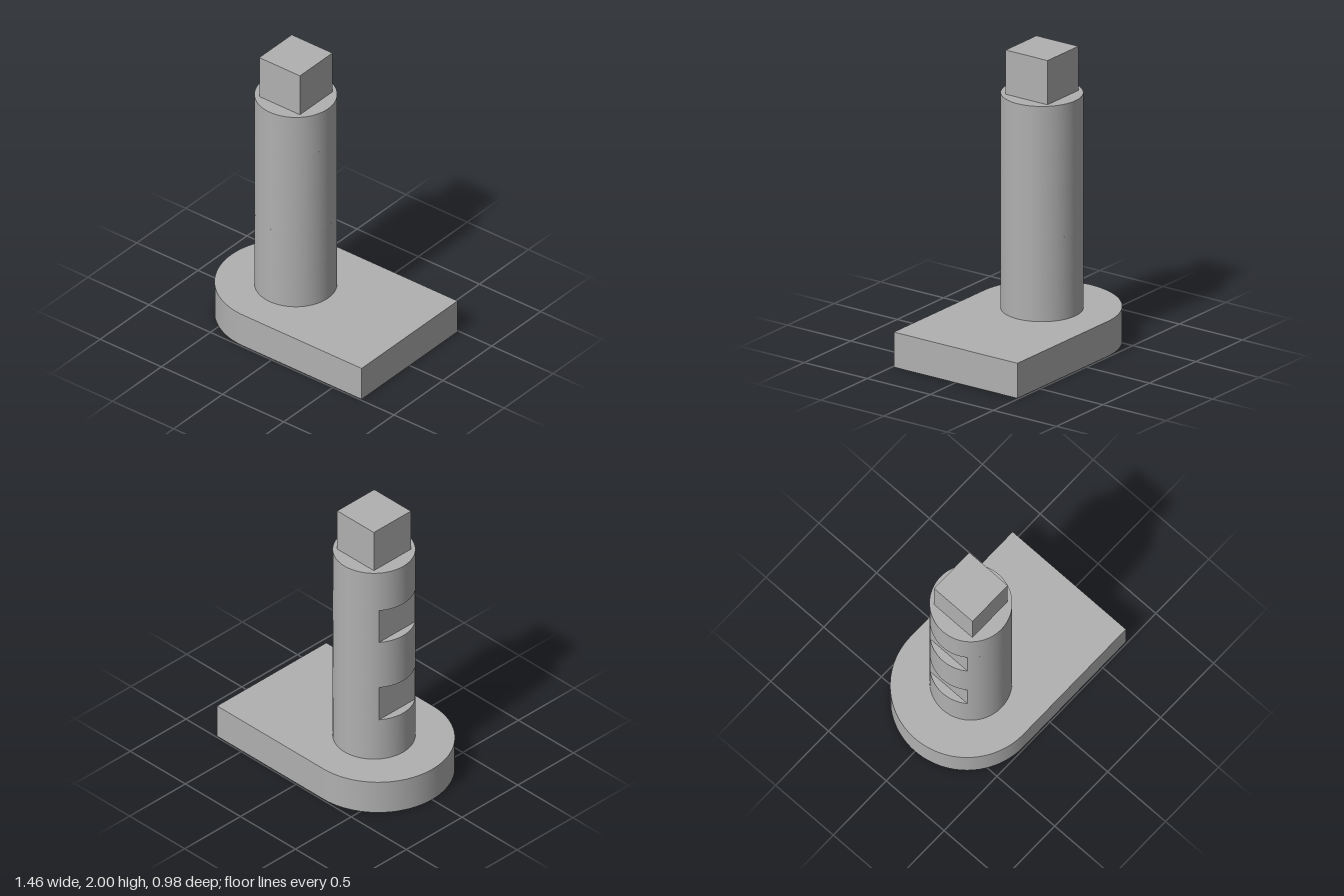
import * as THREE from 'three';
import { toCreasedNormals } from 'three/addons/utils/BufferGeometryUtils.js';

const AXIS_X = -0.201;   // column axis
const RADIUS = 0.264;
const FLAT = 0.209;      // distance from the axis to the notch floor
const BASE_TOP = 0.238;
const COLUMN_TOP = 1.7;

export function createModel() {
  const grey = new THREE.MeshStandardMaterial({ color: 0xb0b0b0 });
  grey.name = 'plain grey';
  const model = new THREE.Group();
  model.name = 'notchedPost';

  const add = (name, geometry, parent = model) => {
    const mesh = new THREE.Mesh(geometry, grey);
    mesh.name = name;
    parent.add(mesh);
    return mesh;
  };

  // Upright prism of a plan shape between two heights
  const prism = (shape, y0, y1) => {
    const g = new THREE.ExtrudeGeometry(shape, { depth: y1 - y0, bevelEnabled: false, curveSegments: 64 });
    g.rotateX(-Math.PI / 2).translate(0, y0, 0);
    return toCreasedNormals(g, 0.5);
  };

  // Base plate: square at one end, rounded at the other
  const plan = new THREE.Shape();
  plan.moveTo(0.728, -0.49);
  plan.lineTo(0.728, 0.49);
  plan.lineTo(-0.238, 0.49);
  plan.absarc(-0.238, 0, 0.49, Math.PI / 2, Math.PI * 1.5, false);
  plan.closePath();
  add('basePlate', prism(plan, 0, BASE_TOP));

  // Column: full round sections alternating with flat-cut notch sections
  const column = new THREE.Group();
  column.name = 'column';
  column.position.x = AXIS_X;
  model.add(column);

  const round = new THREE.Shape().absarc(0, 0, RADIUS, 0, Math.PI * 2, false);
  const cut = Math.acos(-FLAT / RADIUS);
  const notched = new THREE.Shape().absarc(0, 0, RADIUS, -cut, cut, false);
  notched.closePath();

  const levels = [BASE_TOP, 0.546, 0.8, 1.155, 1.405, COLUMN_TOP];
  for (let i = 0; i < levels.length - 1; i++) {
    const isNotch = i % 2 === 1;
    add(isNotch ? 'notchSection' : 'roundSection',
      prism(isNotch ? notched : round, levels[i], levels[i + 1]), column);
  }

  // Square drive on top
  const drive = add('squareDrive', new THREE.BoxGeometry(0.332, 2 - COLUMN_TOP, 0.332));
  drive.position.set(AXIS_X, (2 + COLUMN_TOP) / 2, 0);

  return model;
}
